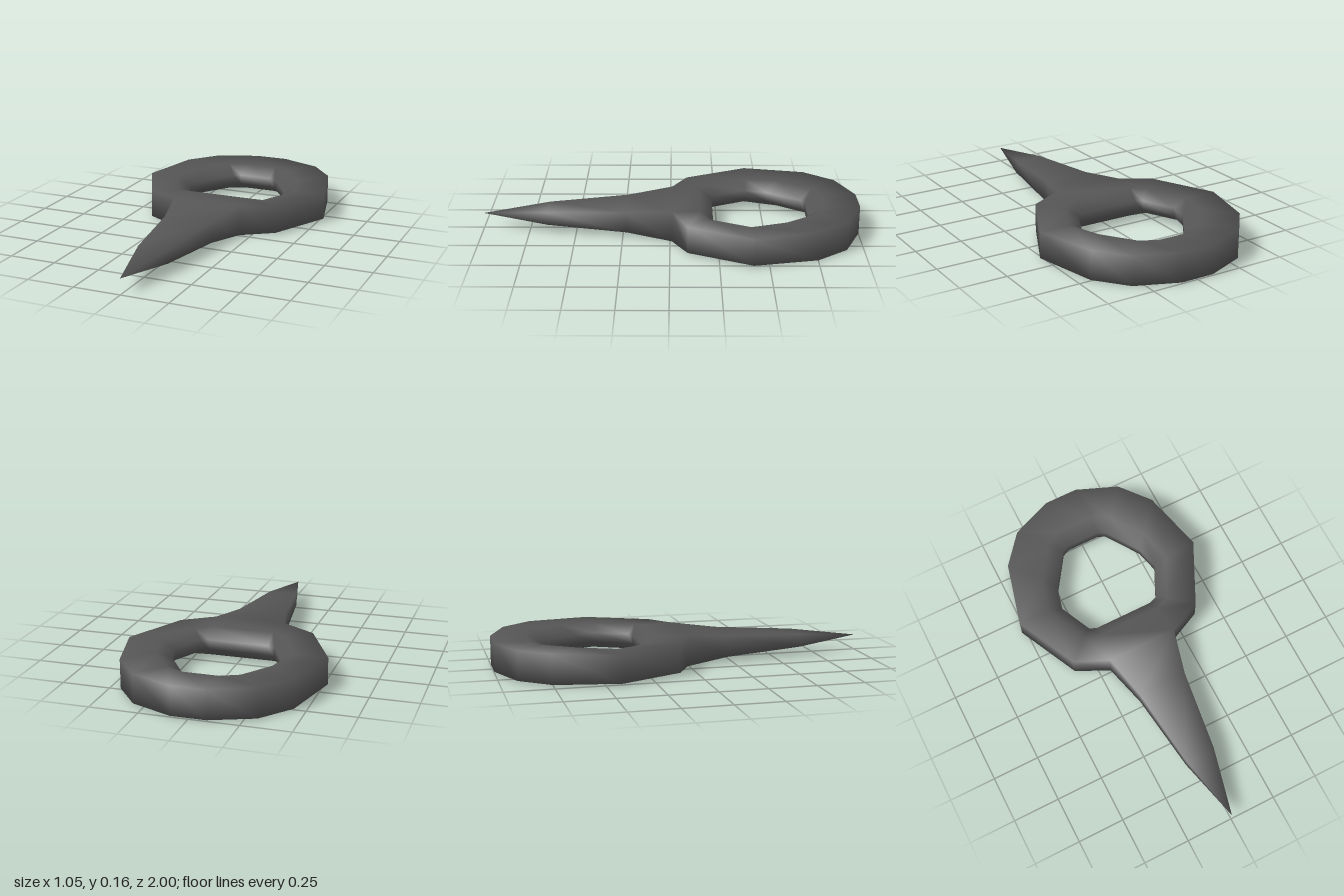
import * as THREE from 'three';

const MID = 0.084; // height of the symmetry plane

export function createModel() {
  const group = new THREE.Group();
  const darkSteel = new THREE.MeshStandardMaterial({ color: 0x555555 });
  darkSteel.name = 'darkSteel';

  // Half outlines from back to front: outer x, z, half height, inner x, z
  const half = [
    [0.09, -1.0, 0.076, 0.09, -0.73],
    [0.31, -0.91, 0.077, 0.13, -0.71],
    [0.44, -0.75, 0.077, 0.25, -0.53],
    [0.525, -0.42, 0.07, 0.28, -0.41],
    [0.365, -0.09, 0.071, 0.2, -0.24],
    [0.19, -0.01, 0.082, 0.16, -0.225],
  ];
  const mirrored = half.map(([ox, oz, h, ix, iz]) => [-ox, oz, h, -ix, iz]).reverse();
  const stations = [...half, ...mirrored];

  const positions = [];
  const ringIndex = [];
  const spikeIndex = [];
  const quad = (list, a, b, c, d) => list.push(a, b, c, a, c, d);

  // Ring cross-sections: upright outer wall, flat top, bevelled inner edge
  const ROWS = 6;
  for (const [ox, oz, h, ix, iz] of stations) {
    const bx = ix + (ox - ix) * 0.3;
    const bz = iz + (oz - iz) * 0.3;
    const r = 0.025;
    positions.push(
      ox, MID + h, oz,
      bx, MID + h * 0.96, bz,
      ix, MID + r, iz,
      ix, MID - r, iz,
      bx, MID - h * 0.96, bz,
      ox, MID - h, oz,
    );
  }
  const n = stations.length;
  for (let i = 0; i < n; i++) {
    const j = (i + 1) % n;
    for (let k = 0; k < ROWS; k++) {
      if (i === 5 && k === 5) continue; // opening where the spike joins
      const m = (k + 1) % ROWS;
      quad(ringIndex, i * ROWS + k, i * ROWS + m, j * ROWS + m, j * ROWS + k);
    }
  }

  // Spike: rectangular sections growing out of the ring opening
  let previous = [5 * ROWS, 6 * ROWS, 6 * ROWS + 5, 5 * ROWS + 5];
  for (const [x, h, z] of [[0.132, 0.056, 0.23], [0.08, 0.035, 0.65]]) {
    const s = positions.length / 3;
    positions.push(x, MID + h, z, -x, MID + h, z, -x, MID - h, z, x, MID - h, z);
    const next = [s, s + 1, s + 2, s + 3];
    for (let k = 0; k < 4; k++) {
      const m = (k + 1) % 4;
      quad(spikeIndex, previous[k], previous[m], next[m], next[k]);
    }
    previous = next;
  }
  const tip = positions.length / 3;
  positions.push(0, MID, 1);
  for (let k = 0; k < 4; k++) spikeIndex.push(previous[k], previous[(k + 1) % 4], tip);

  // Smooth normals are shared across the joint, then the parts are separated
  const whole = new THREE.BufferGeometry();
  whole.setAttribute('position', new THREE.Float32BufferAttribute(positions, 3));
  whole.setIndex([...ringIndex, ...spikeIndex]);
  whole.computeVertexNormals();

  const addPart = (name, index) => {
    const geometry = whole.clone();
    geometry.setIndex(index);
    const mesh = new THREE.Mesh(geometry.toNonIndexed(), darkSteel);
    mesh.name = name;
    group.add(mesh);
  };
  addPart('ring', ringIndex);
  addPart('spike', spikeIndex);
  return group;
}
